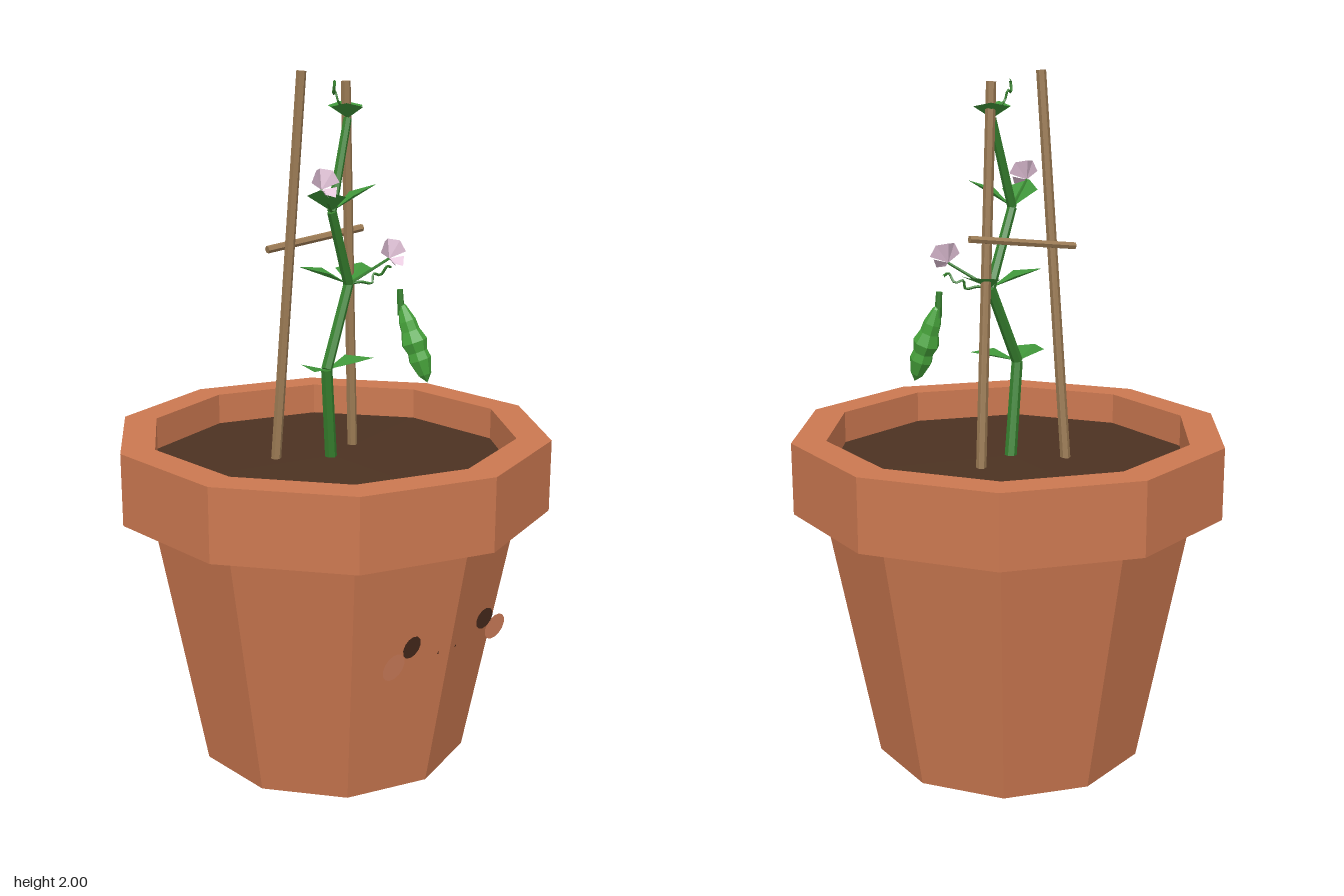
import * as THREE from 'three';

const V = (x, y, z) => new THREE.Vector3(x, y, z);
const paint = (name, color, side = THREE.FrontSide) =>
  Object.assign(new THREE.MeshStandardMaterial({ color, flatShading: true, side }), { name });

export function createModel() {
  const model = new THREE.Group();
  model.name = 'pottedVine';
  const terracotta = paint('terracotta', 0xcb7850);
  const soilBrown = paint('soilBrown', 0x4c3222);
  const wood = paint('wood', 0x9c7b54);
  const stemGreen = paint('stemGreen', 0x37822f);
  const leafGreen = paint('leafGreen', 0x40963a, THREE.DoubleSide);
  const podGreen = paint('podGreen', 0x48a63c);
  const petalPink = paint('petalPink', 0xdcbcd2, THREE.DoubleSide);
  const faceDark = paint('faceDark', 0x4a2c1e, THREE.DoubleSide);
  const cheekOrange = paint('cheekOrange', 0xdb8560, THREE.DoubleSide);

  const add = (name, geometry, material, parent = model) => {
    const mesh = new THREE.Mesh(geometry, material);
    mesh.name = name;
    parent.add(mesh);
    return mesh;
  };
  // Straight rod between two points
  const rod = (name, a, b, r0, r1, sides, material) => {
    const dir = b.clone().sub(a);
    const mesh = add(name, new THREE.CylinderGeometry(r1, r0, dir.length(), sides), material);
    mesh.position.copy(a).add(b).multiplyScalar(0.5);
    mesh.quaternion.setFromUnitVectors(V(0, 1, 0), dir.normalize());
    return mesh;
  };
  // Thin sheet made of a fan of triangles around its first point
  const fan = (name, points, material) => {
    const tri = [];
    for (let i = 1; i < points.length - 1; i++) tri.push(points[0], points[i], points[i + 1]);
    const geometry = new THREE.BufferGeometry().setFromPoints(tri);
    geometry.computeVertexNormals();
    return add(name, geometry, material);
  };

  // Ten-sided pot, rim and soil
  const body = add('potBody', new THREE.CylinderGeometry(0.552, 0.405, 0.77, 10), terracotta);
  body.position.y = 0.385;
  const rimProfile = [[0.53, 0.77], [0.64, 0.77], [0.64, 0.98], [0.54, 0.98], [0.54, 0.87]];
  add('potRim', new THREE.LatheGeometry(rimProfile.map(p => new THREE.Vector2(...p)), 10), terracotta);
  const soil = add('soil', new THREE.ConeGeometry(0.54, 0.012, 10, 1, true), soilBrown);
  soil.position.y = 0.891;

  // Face: flat discs and a smile following the slope of the pot
  const slope = 0.19;
  for (const s of [-1, 1]) {
    const eye = add('eye', new THREE.CircleGeometry(0.034, 12), faceDark);
    eye.position.set(s * 0.147, 0.49, 0.485);
    const cheek = add('cheek', new THREE.CircleGeometry(0.041, 14), cheekOrange);
    cheek.position.set(s * 0.205, 0.445, 0.474);
    eye.rotation.x = cheek.rotation.x = slope;
  }
  const smile = add('smile', new THREE.RingGeometry(0.045, 0.055, 12, 1, Math.PI * 1.25, Math.PI * 0.5), faceDark);
  smile.position.set(0, 0.475, 0.485);
  smile.rotation.x = slope;

  // Wooden trellis
  rod('leftStake', V(0.135, 0.87, -0.055), V(0.08, 1.97, -0.03), 0.015, 0.014, 6, wood);
  rod('rightStake', V(-0.133, 0.87, -0.1), V(-0.085, 2.0, -0.03), 0.015, 0.014, 6, wood);
  rod('crossbar', V(-0.165, 1.513, -0.088), V(0.165, 1.55, -0.05), 0.011, 0.011, 6, wood);

  // Zigzag stem
  const stem = [V(-0.002, 0.87, 0), V(-0.047, 1.17, 0.03), V(0.065, 1.4, 0), V(-0.032, 1.62, 0.035), V(0.055, 1.87, 0.005)];
  for (let i = 0; i < 4; i++) {
    const r = 0.018 - i * 0.0015;
    rod('stem', stem[i], stem[i + 1], r, r - 0.0015, 6, stemGreen);
  }

  // Folded kite leaves: base, tip, half width
  const leaf = (base, tip, w) => {
    const dir = tip.clone().sub(base);
    const side = V(0, 1, 0).cross(dir).normalize();
    const lift = dir.clone().cross(side).normalize().multiplyScalar(w * 0.25);
    const corner = s => base.clone().addScaledVector(dir, 0.5).addScaledVector(side, s * w).add(lift);
    fan('leaf', [base, corner(1), tip, corner(-1)], leafGreen);
  };
  leaf(stem[1], V(-0.165, 1.195, 0.11), 0.058);
  leaf(stem[1], V(0.072, 1.198, 0.1), 0.058);
  leaf(stem[2], V(-0.06, 1.455, -0.075), 0.06);
  leaf(stem[2], V(0.178, 1.445, -0.065), 0.06);
  leaf(stem[3], V(-0.135, 1.69, 0.1), 0.056);
  leaf(stem[3], V(0.068, 1.695, 0.11), 0.056);
  leaf(stem[4], V(-0.015, 1.915, 0.075), 0.045);
  leaf(stem[4], V(0.11, 1.915, -0.075), 0.05);

  // Pea flowers: a folded banner petal, two wings and a stalk
  const flower = (node, c) => {
    const at = (x, y, z) => V(c.x + x, c.y + y, c.z + z);
    rod('flowerStalk', node, c, 0.005, 0.004, 5, stemGreen);
    fan('bannerPetal', [at(0, 0, 0), at(-0.046, 0.022, 0.012), at(-0.026, 0.053, 0.008),
      at(0.005, 0.056, -0.012), at(0.035, 0.05, 0.008), at(0.048, 0.018, 0.02)], petalPink);
    for (const s of [-1, 1]) {
      fan('wingPetal', [at(0, 0, 0), at(s * 0.03, 0.008, 0.03), at(s * 0.012, -0.018, 0.045), at(0, -0.012, 0.015)], petalPink);
    }
  };
  flower(stem[3], V(-0.12, 1.69, 0.09));
  flower(stem[2], V(0.165, 1.472, 0.065));

  // Bumpy hanging pod with its stalk
  const podProfile = [[0, 0], [0.02, 0.025], [0.034, 0.07], [0.03, 0.095], [0.04, 0.125], [0.028, 0.16], [0.026, 0.19], [0.012, 0.235], [0, 0.25]];
  const pod = add('pod', new THREE.LatheGeometry(podProfile.map(p => new THREE.Vector2(...p)), 7), podGreen);
  pod.position.set(0.216, 1.115, 0.178);
  pod.quaternion.setFromUnitVectors(V(0, 1, 0), V(-0.036, 0.225, -0.075).normalize());
  rod('podStalk', V(0.178, 1.31, 0.104), V(0.175, 1.385, 0.1), 0.011, 0.009, 6, stemGreen);

  // Curling tendrils
  const tendril = points => add('tendril',
    new THREE.TubeGeometry(new THREE.CatmullRomCurve3(points), 20, 0.004, 4), stemGreen);
  tendril([stem[4], V(0.02, 1.9, 0.02), V(-0.005, 1.92, 0.03), V(-0.01, 1.945, 0.025),
    V(-0.035, 1.94, 0.045), V(-0.04, 1.968, 0.055), V(-0.018, 1.972, 0.03)]);
  tendril([stem[2], V(0.1, 1.405, 0.015), V(0.13, 1.4, 0.03), V(0.14, 1.425, 0.025),
    V(0.165, 1.42, 0.03), V(0.175, 1.445, 0.045), V(0.2, 1.44, 0.035)]);

  return model;
}
